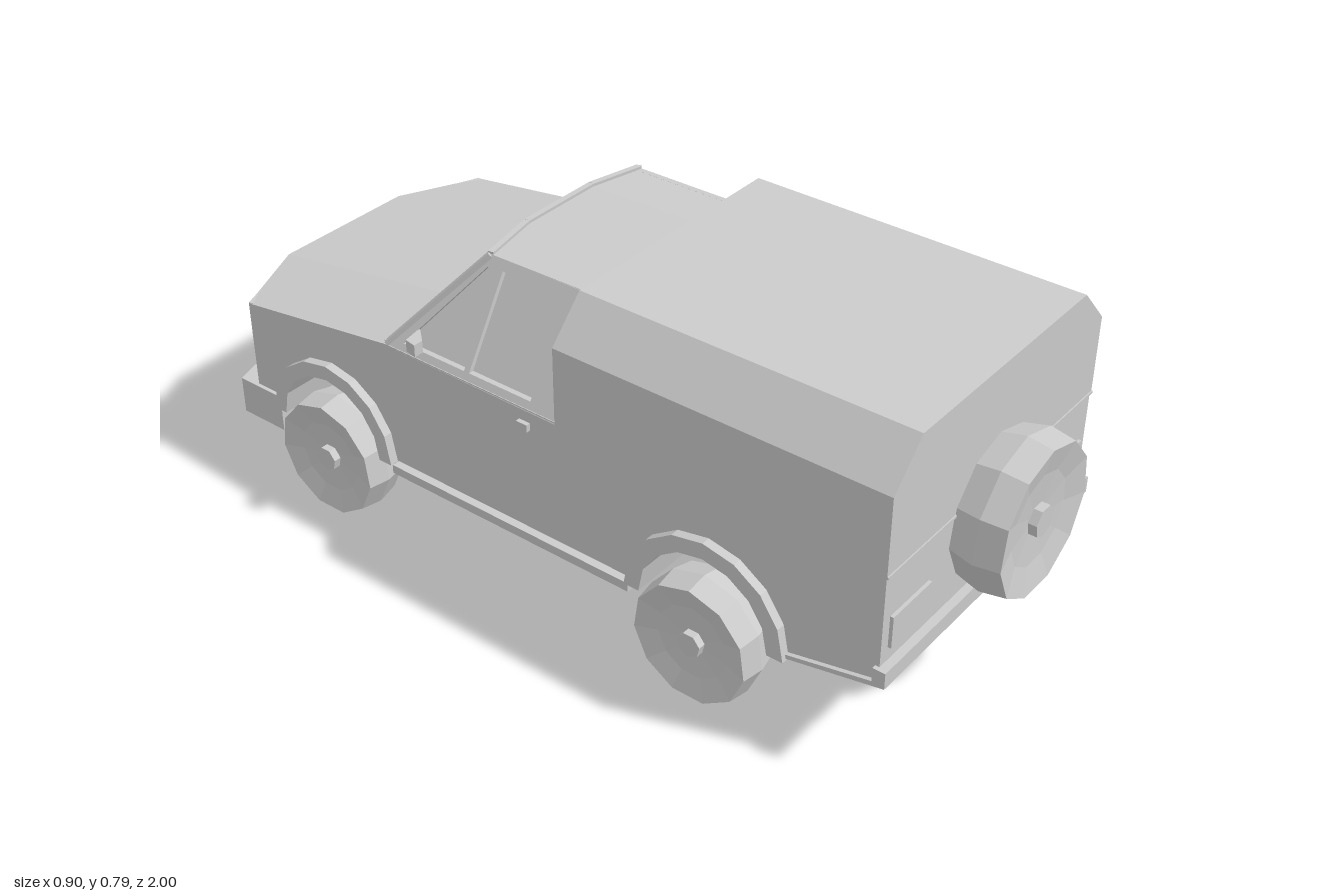
import * as THREE from 'three';

const grey = new THREE.MeshStandardMaterial({ color: 0xcccccc, flatShading: true, side: THREE.DoubleSide });

function add(parent, name, geometry) {
  const mesh = new THREE.Mesh(geometry, grey);
  mesh.name = name;
  parent.add(mesh);
  return mesh;
}

function extrude(points, depth, holes = []) {
  const toVectors = (list) => list.map(([a, b]) => new THREE.Vector2(a, b));
  const shape = new THREE.Shape(toVectors(points));
  for (const hole of holes) shape.holes.push(new THREE.Path(toVectors(hole)));
  return new THREE.ExtrudeGeometry(shape, { depth, bevelEnabled: false });
}

// Side outline of (z, y) points, spanning x0..x1
const side = (points, x0, x1, holes) =>
  extrude(points, x1 - x0, holes).rotateY(-Math.PI / 2).translate(x1, 0, 0);

// Plan outline of (x, z) points, spanning y0..y1
const plan = (points, y0, y1) =>
  extrude(points, y1 - y0).rotateX(Math.PI / 2).translate(0, y1, 0);

const box = (w, h, d, x, y, z) => new THREE.BoxGeometry(w, h, d).translate(x, y, z);
const rect = (a0, a1, b0, b1) => [[a0, b0], [a1, b0], [a1, b1], [a0, b1]];

// Arc of (z, y) points from the rear end to the nose end
function arc(cz, cy, r, n = 8) {
  return Array.from({ length: n + 1 }, (_, i) => {
    const t = (Math.PI * i) / n;
    return [cz + r * Math.cos(t), cy + r * Math.sin(t)];
  });
}

// Three-facet strip between two symmetric rows, each given as [outer, inner] points
function strip(rowA, rowB) {
  const full = ([o, i]) => [[-o[0], o[1], o[2]], [-i[0], i[1], i[2]], i, o];
  const index = [];
  for (let k = 0; k < 3; k++) index.push(k, k + 1, k + 5, k, k + 5, k + 4);
  const geometry = new THREE.BufferGeometry();
  geometry.setAttribute('position', new THREE.Float32BufferAttribute([...full(rowA), ...full(rowB)].flat(), 3));
  geometry.setIndex(index);
  geometry.computeVertexNormals();
  return geometry;
}

// Square bar between two points
function bar(a, b, size) {
  const p = new THREE.Vector3(...a), q = new THREE.Vector3(...b);
  const geometry = new THREE.BoxGeometry(size, size, p.distanceTo(q));
  const matrix = new THREE.Matrix4().lookAt(p, q, new THREE.Vector3(0, 1, 0));
  return geometry.applyMatrix4(matrix.setPosition(p.add(q).multiplyScalar(0.5)));
}

// Dished wheel facing +z, with a vertex at the top
function wheelGeometry() {
  const profile = [[0, -0.055], [0.14, -0.055], [0.152, 0], [0.144, 0.055], [0.09, 0.042], [0, 0.034]];
  return new THREE.LatheGeometry(profile.map(([r, h]) => new THREE.Vector2(r, h)), 11)
    .rotateY(Math.PI).rotateX(Math.PI / 2);
}
const hubGeometry = () =>
  new THREE.CylinderGeometry(0.03, 0.03, 0.03, 7).rotateX(Math.PI / 2).translate(0, 0, 0.04);

export function createModel() {
  const model = new THREE.Group();
  model.name = 'pickup';
  const arches = [
    { z: 0.465, outer: 0.205, inner: 0.165, axle: 0.455 },
    { z: -0.615, outer: 0.192, inner: 0.155, axle: -0.61 },
  ];

  // Main body with wheel arches cut right through
  add(model, 'body', side([
    [0.88, 0.515], [0.88, 0.25], [0.65, 0.2],
    ...arc(0.465, 0.2, 0.165), [0.27, 0.18], [-0.43, 0.18],
    ...arc(-0.615, 0.2, 0.155), [-0.8, 0.22], [-0.885, 0.22],
    [-0.885, 0.45], [-0.43, 0.515],
  ], -0.4, 0.4));

  // Canopy over the load bed
  add(model, 'canopy', extrude([
    [-0.402, 0.51], [0.402, 0.51], [0.402, 0.7], [0.312, 0.795], [-0.312, 0.795], [-0.402, 0.7],
  ], 0.82).translate(0, 0, 0.062));

  // Hood, windscreen and roof
  const nose = [[0.4, 0.45, -0.885], [0.19, 0.457, -0.972]];
  const cowl = [[0.395, 0.516, -0.43], [0.18, 0.535, -0.445]];
  const brow = [[0.255, 0.748, -0.235], [0.11, 0.755, -0.258]];
  const roofRear = [[0.255, 0.752, 0.065], [0.11, 0.762, 0.065]];
  add(model, 'hood', strip(nose, cowl));
  add(model, 'windscreen', strip(cowl, brow));
  add(model, 'roof', strip(brow, roofRear));
  for (const [name, row] of [['lowerScreenFrame', cowl], ['upperScreenFrame', brow]]) {
    const mid = row[1];
    add(model, name, bar([-mid[0], mid[1], mid[2]], mid, 0.014));
  }

  // Nose core, grille surround and slats
  add(model, 'noseCore', plan([
    [-0.4, -0.8], [0.4, -0.8], [0.39, -0.86], [0.185, -0.942], [-0.185, -0.942], [-0.39, -0.86],
  ], 0.22, 0.45));
  add(model, 'grilleSurround',
    extrude(rect(-0.19, 0.19, 0.22, 0.455), 0.03, [rect(-0.177, 0.177, 0.265, 0.437)]).translate(0, 0, -0.97));
  for (let i = 0; i < 3; i++) {
    add(model, 'grilleSlat', box(0.36, 0.012, 0.024, 0, 0.308 + i * 0.043, -0.951));
  }

  // Bumpers
  add(model, 'noseBumper', plan([
    [-0.41, -0.8], [0.41, -0.8], [0.41, -0.935], [0.2, -1], [-0.2, -1], [-0.41, -0.935],
  ], 0.13, 0.225));
  add(model, 'tailBumper', side([
    [0.9, 0.29], [0.9, 0.25], [0.65, 0.2], [0.65, 0.21], [0.87, 0.256], [0.87, 0.29],
  ], -0.41, 0.41));
  add(model, 'tailgateSeam', box(0.804, 0.006, 0.01, 0, 0.512, 0.88));

  // Spare wheel on the tailgate
  const spare = new THREE.Group();
  spare.name = 'spareWheel';
  add(spare, 'tyre', wheelGeometry());
  add(spare, 'hub', hubGeometry());
  spare.position.set(0, 0.46, 0.94);
  spare.scale.set(1.2, 1.2, 1.08);
  model.add(spare);

  // Axles
  for (const { axle } of arches) {
    add(model, 'axle', new THREE.CylinderGeometry(0.026, 0.026, 0.72, 8)
      .rotateZ(Math.PI / 2).translate(0, 0.153, axle));
  }

  // Parts repeated on both sides
  for (const s of [1, -1]) {
    const half = new THREE.Group();
    half.name = s > 0 ? 'leftSide' : 'rightSide';
    half.scale.x = s;
    model.add(half);

    // Leaning cab side with two recessed windows
    const lean = (geometry) => {
      const p = geometry.attributes.position;
      for (let i = 0; i < p.count; i++) p.setX(i, p.getX(i) + 0.4 - (p.getY(i) - 0.512) * 0.61);
      return geometry;
    };
    const doorGlass = rect(-0.19, -0.015, 0.53, 0.728);
    const quarterGlass = [[-0.385, 0.53], [-0.205, 0.53], [-0.205, 0.725], [-0.232, 0.725]];
    const cabOutline = [[0.065, 0.51], [-0.43, 0.512], [-0.235, 0.749], [0.065, 0.753]];
    add(half, 'cabSide', lean(side(cabOutline, -0.014, 0, [doorGlass, quarterGlass])));
    add(half, 'doorGlass', lean(side(doorGlass, -0.018, -0.013)));
    add(half, 'quarterGlass', lean(side(quarterGlass, -0.018, -0.013)));
    add(half, 'screenPillar', bar(cowl[0], brow[0], 0.014));
    add(half, 'lowerScreenFrame', bar(cowl[0], cowl[1], 0.014));
    add(half, 'upperScreenFrame', bar(brow[0], brow[1], 0.014));

    // Mirror and door handle
    add(half, 'mirror', plan([[0.36, -0.36], [0.415, -0.35], [0.42, -0.32], [0.395, -0.32]], 0.535, 0.565));
    add(half, 'mirrorArm', bar([0.37, 0.53, -0.36], [0.4, 0.55, -0.335], 0.014));
    add(half, 'doorHandle', box(0.02, 0.018, 0.03, 0.401, 0.474, -0.024));

    // Angled headlamp panel with recessed lamp
    const panel = new THREE.Group();
    panel.name = 'headlampPanel';
    panel.position.set(0.19, 0, -0.97);
    panel.rotation.y = -Math.atan2(0.085, 0.21);
    add(panel, 'headlampSurround',
      extrude(rect(0, 0.2265, 0.22, 0.452), 0.03, [rect(0.03, 0.205, 0.325, 0.432)]));
    add(panel, 'headlamp', box(0.15, 0.085, 0.02, 0.117, 0.378, 0.025));
    half.add(panel);
    add(half, 'bumperLamp', bar([0.31, 0.195, -0.967], [0.37, 0.195, -0.949], 0.008));

    // Tail lamp and sill
    add(half, 'tailLamp', box(0.14, 0.077, 0.016, 0.305, 0.363, 0.88));
    add(half, 'sill', box(0.03, 0.022, 0.69, 0.405, 0.191, -0.075));

    // Wheel flares and wheels
    for (const { z, outer, inner, axle } of arches) {
      add(half, 'wheelFlare', side([...arc(z, 0.2, outer), ...arc(z, 0.2, inner).reverse()], 0.39, 0.422));
      const wheel = new THREE.Group();
      wheel.name = 'wheel';
      add(wheel, 'tyre', wheelGeometry());
      add(wheel, 'hub', hubGeometry());
      wheel.rotation.y = Math.PI / 2;
      wheel.position.set(0.397, 0.152, axle);
      half.add(wheel);
    }
  }
  return model;
}
